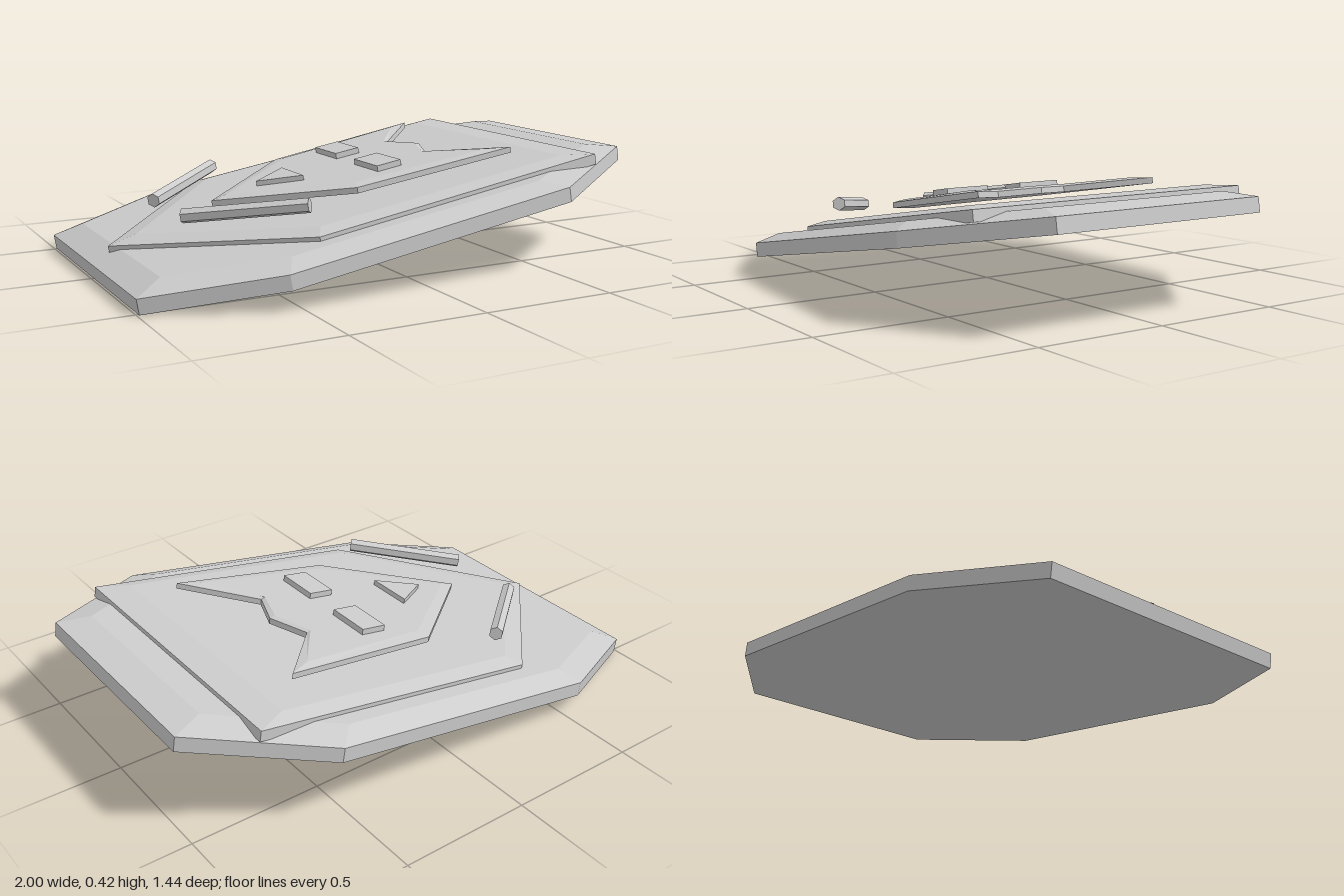
import * as THREE from 'three';

const TILT = 0.167, LEFT = -0.99;
const C = Math.cos(TILT), S = Math.sin(TILT);
const material = new THREE.MeshStandardMaterial({ color: 0xcccccc, flatShading: true });

// Distance along the sloped base for a world x at height v above it
const along = (x, v) => (x - LEFT + v * S) / C;

// Complete a half outline (z >= 0, left to right) by mirroring it in z
function mirrored(half) {
  const back = half.filter(p => p[1] > 0).reverse().map(([x, z]) => [x, -z]);
  return [...half, ...back];
}

// Plate lofted through rings [outline, height], closed at both ends
function plate(name, refHeight, rings) {
  const loops = rings.map(([outline, v]) =>
    outline.map(([x, z]) => new THREE.Vector3(along(x, refHeight), v, z)));
  const pos = [];
  const tri = (a, b, c) => [a, b, c].forEach(p => pos.push(p.x, p.y, p.z));
  for (let k = 0; k < loops.length - 1; k++) {
    const lo = loops[k], hi = loops[k + 1], n = lo.length;
    for (let i = 0; i < n; i++) {
      const j = (i + 1) % n;
      tri(lo[i], lo[j], hi[j]);
      tri(lo[i], hi[j], hi[i]);
    }
  }
  const cap = (loop, up) => {
    const flat = loop.map(p => new THREE.Vector2(p.x, -p.z));
    for (const [a, b, c] of THREE.ShapeUtils.triangulateShape(flat, [])) {
      if (up) tri(loop[a], loop[b], loop[c]);
      else tri(loop[a], loop[c], loop[b]);
    }
  };
  cap(loops[0], false);
  cap(loops[loops.length - 1], true);
  const geo = new THREE.BufferGeometry();
  geo.setAttribute('position', new THREE.Float32BufferAttribute(pos, 3));
  geo.computeVertexNormals();
  const mesh = new THREE.Mesh(geo, material);
  mesh.name = name;
  return mesh;
}

// Plate with straight sides and a bevelled upper edge
function bevelled(name, outer, inner, v0, v1, v2) {
  const o = mirrored(outer);
  return plate(name, v1, [[o, v0], [o, v1], [mirrored(inner), v2]]);
}

function slab(name, outline, v0, v1) {
  return plate(name, v1, [[outline, v0], [outline, v1]]);
}

export function createModel() {
  const model = new THREE.Group();
  model.name = 'badge';

  // Eight-sided base
  model.add(bevelled('basePlate',
    [[-1, 0.51], [-0.56, 0.72], [0.54, 0.72], [0.995, 0.435]],
    [[-0.895, 0.455], [-0.51, 0.64], [0.47, 0.64], [0.88, 0.385]],
    0, 0.055, 0.085));

  // Arrow-shaped second layer
  model.add(bevelled('arrowPlate',
    [[-0.935, 0], [-0.385, 0.58], [0.765, 0.58]],
    [[-0.83, 0], [-0.35, 0.52], [0.65, 0.52]],
    0.06, 0.1, 0.115));

  // Raised swallow-tailed panel
  model.add(bevelled('tailedPanel',
    [[-0.54, 0], [-0.12, 0.35], [0.515, 0.39], [0.29, 0.15], [0.35, 0]],
    [[-0.48, 0], [-0.1, 0.305], [0.43, 0.35], [0.275, 0.15], [0.33, 0]],
    0.138, 0.16, 0.168));

  // Small triangle at the point of the panel
  model.add(slab('triangle', mirrored([[-0.36, 0], [-0.21, 0.095]]), 0.168, 0.187));

  for (const side of [1, -1]) {
    const label = side > 0 ? 'front' : 'back';

    // Small rectangular tiles
    const [za, zb] = side > 0 ? [0.255, 0.075] : [-0.075, -0.255];
    model.add(slab(label + 'Tile',
      [[0.015, za], [0.115, za], [0.115, zb], [0.015, zb]], 0.168, 0.19));

    // Six-sided bars beside the arrow point
    const v = 0.177;
    const a = new THREE.Vector3(along(-0.71, v), v, 0.155 * side);
    const b = new THREE.Vector3(along(-0.36, v), v, 0.455 * side);
    const d = b.clone().sub(a);
    const geo = new THREE.CylinderGeometry(0.027, 0.027, d.length(), 6)
      .rotateX(Math.PI / 2)
      .rotateY(Math.atan2(d.x, d.z));
    const bar = new THREE.Mesh(geo, material);
    bar.position.copy(a).add(b).multiplyScalar(0.5);
    bar.name = label + 'Bar';
    model.add(bar);
  }

  // Whole stack leans up towards +x
  model.rotation.z = TILT;
  model.position.x = LEFT;
  const root = new THREE.Group();
  root.name = 'tiltedBadge';
  root.add(model);
  return root;
}
